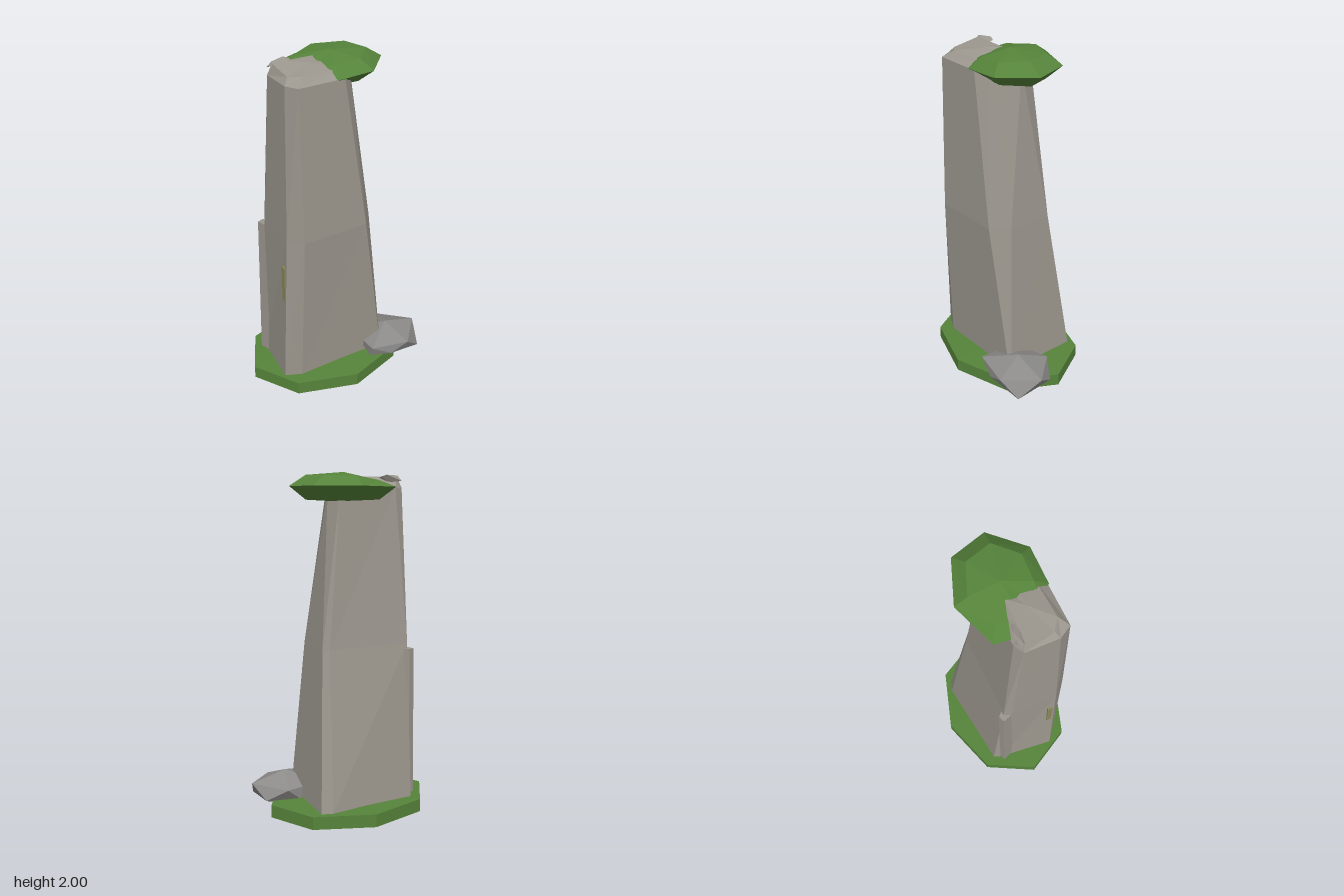
import * as THREE from 'three';
import { ConvexGeometry } from 'three/addons/geometries/ConvexGeometry.js';

const material = (color) => new THREE.MeshStandardMaterial({ color, flatShading: true });

// Skin rings of [x, y, z] points (bottom to top, anticlockwise from above), closed by two apex points
function loft(bottom, rings, top) {
  const pos = [];
  const tri = (...pts) => pts.forEach((p) => pos.push(...p));
  const n = rings[0].length, last = rings[rings.length - 1];
  for (let i = 0; i < n; i++) {
    const j = (i + 1) % n;
    tri(bottom, rings[0][j], rings[0][i]);
    for (let r = 0; r + 1 < rings.length; r++) {
      const lo = rings[r], hi = rings[r + 1];
      tri(lo[i], lo[j], hi[j]);
      tri(lo[i], hi[j], hi[i]);
    }
    tri(top, last[i], last[j]);
  }
  const geo = new THREE.BufferGeometry();
  geo.setAttribute('position', new THREE.Float32BufferAttribute(pos, 3));
  geo.computeVertexNormals();
  return geo;
}

const level = (y, pts) => pts.map(([x, z]) => [x, y, z]);
const hull = (pts) => new ConvexGeometry(pts.map((p) => new THREE.Vector3(...p)));

export function createModel() {
  const model = new THREE.Group();
  model.name = 'rockPillar';
  const grass = material(0x56843b);
  const stone = material(0x9c978e);
  const grey = material(0x8c8b8a);
  const add = (name, geo, mat) => {
    const mesh = new THREE.Mesh(geo, mat);
    mesh.name = name;
    model.add(mesh);
  };

  // Eight-sided grass disc with shallow cones above and below
  const disc = [[-0.03, 0.38], [0.31, 0.27], [0.455, 0], [0.31, -0.27],
    [-0.03, -0.38], [-0.37, -0.27], [-0.515, 0], [-0.37, 0.27]];
  add('grassBase', loft([-0.03, 0, 0], [level(0.045, disc), level(0.12, disc)], [-0.03, 0.14, 0]), grass);

  // Tapering pillar, leaning towards its front left, with a chamfered top
  const foot = level(0.12, [[-0.4, 0.165], [-0.31, 0.21], [0.25, 0.205], [0.257, 0.195],
    [0.25, -0.255], [0.19, -0.275], [-0.34, -0.21], [-0.36, -0.16]]);
  const waist = level(1.03, [[-0.37, 0.17], [-0.3, 0.245], [0.105, 0.235], [0.185, 0.14],
    [0.185, -0.125], [0.15, -0.15], [-0.34, -0.14], [-0.36, -0.1]]);
  const rim = level(1.91, [[-0.35, 0.15], [-0.31, 0.22], [-0.03, 0.215], [0.035, 0.16],
    [0.095, 0], [0.06, -0.09], [-0.29, -0.07], [-0.345, -0.04]]);
  const crown = [[-0.32, 1.945, 0.13], [-0.26, 1.95, 0.175], [-0.04, 1.945, 0.16], [0, 1.955, 0.07],
    [0, 1.955, 0], [-0.08, 1.975, -0.02], [-0.26, 1.975, -0.02], [-0.32, 1.97, -0.03]];
  add('pillar', loft([-0.05, 0.1, 0], [foot, waist, rim, crown], [-0.15, 1.972, 0.06]), stone);

  // Low strip of rock against the pillar's right back edge
  const strip = (y, dx) => level(y, [[-0.385 + dx, -0.155], [-0.35 + dx, -0.17], [-0.3, -0.13], [-0.365 + dx, -0.09]]);
  add('rockStrip', hull([...strip(0.13, 0), ...strip(1.0, 0.01)]), stone);

  // Chip of rock on the crown
  add('crownChip', hull([[-0.34, 1.95, -0.05], [-0.32, 1.98, -0.035], [-0.24, 1.985, -0.06],
    [-0.21, 1.975, -0.05], [-0.21, 1.965, -0.02], [-0.32, 1.96, -0.015], [-0.26, 1.94, -0.04]]), stone);

  // Small lichen patch on the side
  const patch = new THREE.BoxGeometry(0.02, 0.22, 0.03);
  patch.translate(-0.372, 0.74, 0.14);
  add('lichenPatch', patch, material(0x8c8a5c));

  // Faceted grass cap overhanging the crown
  const edge = [[-0.07, 1.91, 0.222], [0.14, 1.92, 0.222], [0.305, 1.925, 0.05], [0.245, 1.93, -0.155],
    [0, 1.93, -0.247], [-0.25, 1.92, -0.155], [-0.27, 1.91, 0.03], [-0.2, 1.9, 0.15]];
  const upper = [[-0.05, 1.965, 0.15], [0.1, 1.975, 0.155], [0.21, 1.985, 0.04], [0.17, 1.985, -0.11],
    [0, 1.98, -0.175], [-0.17, 1.955, -0.11], [-0.2, 1.94, 0.02], [-0.14, 1.94, 0.1]];
  const lower = edge.map(([x, , z]) => [x * 0.7, 1.85, z * 0.65]);
  add('grassCap', loft([0.02, 1.838, 0], [lower, edge, upper], [0, 2, 0]), grass);

  // Boulder at the foot
  add('boulder', hull([[0.3, 0.26, 0.18], [0.12, 0.2, 0.31], [0.35, 0.19, 0.355], [0.51, 0.2, 0.18],
    [0.35, 0.19, 0], [0.13, 0.19, 0.07], [0.24, 0.14, 0.34], [0.46, 0.1, 0.31], [0.46, 0.12, 0.07],
    [0.24, 0.1, 0.03], [0.12, 0.14, 0.29], [0.2, 0.09, 0.2], [0.33, 0.05, 0.2]]), grey);

  return model;
}
